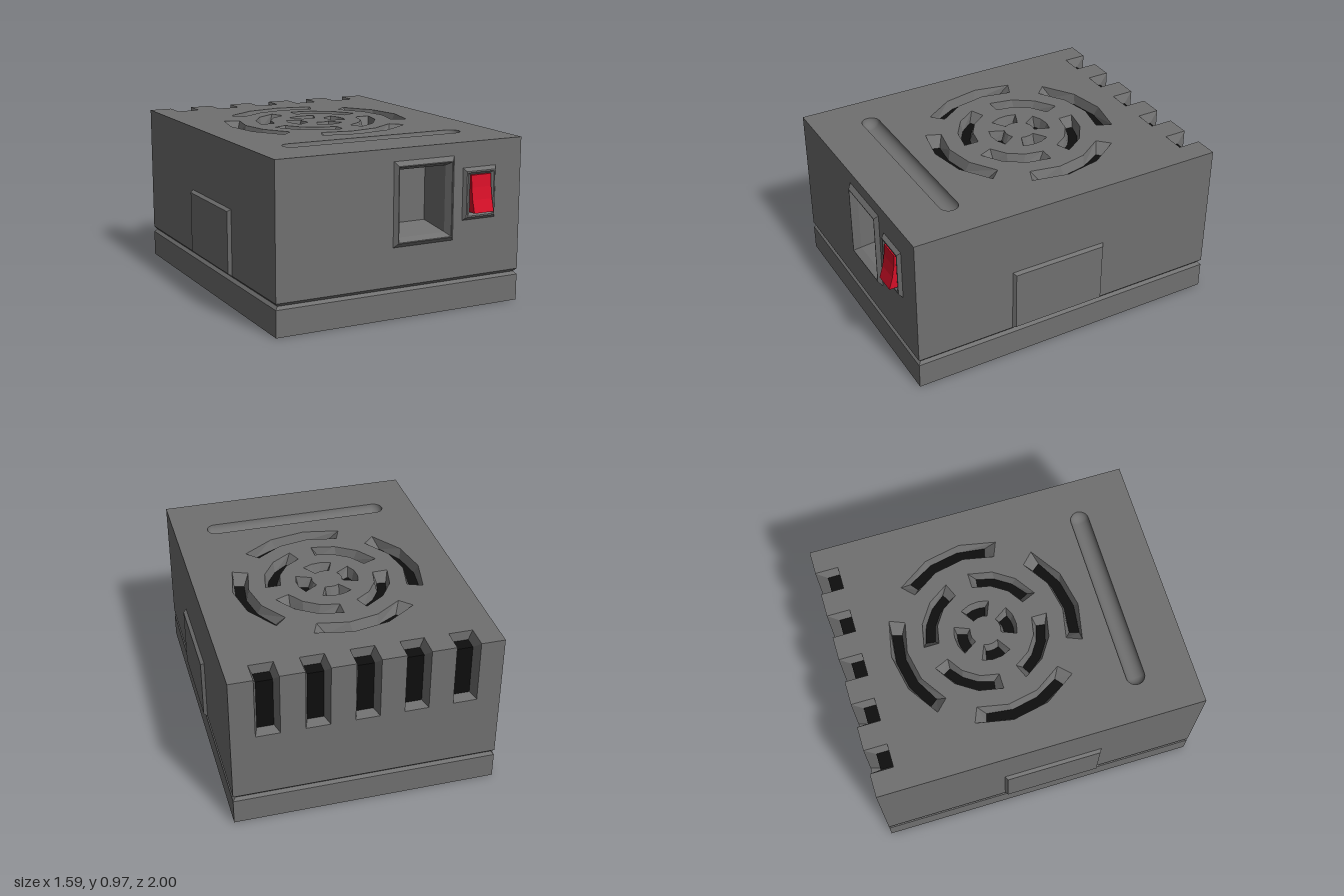
import * as THREE from 'three';
import { mergeVertices } from 'three/addons/utils/BufferGeometryUtils.js';

const W = 0.775, FRONT = 0.94, BACK = -1, TOP = 0.97, SEAM = 0.19;
const NOTCH = { half: 0.07, inner: 0.048, bottom: 0.59, end: -0.863, back: -0.937, floor: 0.91 };

const casing = new THREE.MeshStandardMaterial({ color: 0x707070, side: THREE.DoubleSide });
casing.name = 'casing grey';
const dark = new THREE.MeshStandardMaterial({ color: 0x0e0e0e, side: THREE.DoubleSide });
dark.name = 'interior black';
const red = new THREE.MeshStandardMaterial({ color: 0xd81028 });
red.name = 'switch red';

const v2 = (x, y) => new THREE.Vector2(x, y);

// Flat-shaded surface from a list of four-cornered faces
function quads(list, smooth = false) {
  const pos = [];
  for (const [a, b, c, d] of list) pos.push(...a, ...b, ...c, ...a, ...c, ...d);
  let g = new THREE.BufferGeometry();
  g.setAttribute('position', new THREE.Float32BufferAttribute(pos, 3));
  if (smooth) g = mergeVertices(g, 1e-5);
  g.computeVertexNormals();
  return g;
}

// Faces joining a chain of matching closed loops
function loft(loops) {
  const out = [];
  for (let k = 0; k + 1 < loops.length; k++) {
    const a = loops[k], b = loops[k + 1], n = a.length;
    for (let i = 0; i < n; i++) {
      const j = (i + 1) % n;
      out.push([a[i], a[j], b[j], b[i]]);
    }
  }
  return out;
}

const rectXY = (x0, x1, y0, y1, z) => [[x0, y0, z], [x1, y0, z], [x1, y1, z], [x0, y1, z]];
const rectXZ = (inset, y) => [
  [-W + inset, y, FRONT - inset], [W - inset, y, FRONT - inset],
  [W - inset, y, BACK + inset], [-W + inset, y, BACK + inset]];
const flat = (loop) => loop.map(([x, , z]) => v2(x, -z));

// Curved vent slot: outer arc followed by the reversed inner arc
function arcLoop(r0, r1, start, end, y, seg = 3) {
  const outer = [], inner = [];
  for (let i = 0; i <= seg; i++) {
    const t = start + (end - start) * i / seg;
    outer.push([r1 * Math.cos(t), y, -0.14 - r1 * Math.sin(t)]);
    inner.push([r0 * Math.cos(t), y, -0.14 - r0 * Math.sin(t)]);
  }
  return [...outer, ...inner.reverse()];
}

// Long outline with round ends
function stadium(r, y) {
  const pts = [];
  for (const s of [1, -1]) {
    for (let i = 0; i <= 12; i++) {
      const t = -Math.PI / 2 + Math.PI * i / 12;
      pts.push([s * (0.515 + r * Math.cos(t)), y, 0.602 - s * r * Math.sin(t)]);
    }
  }
  return pts;
}

export function createModel() {
  const model = new THREE.Group();
  model.name = 'ventilatedPowerBox';
  const add = (name, geometry, material = casing, parent = model) => {
    const m = new THREE.Mesh(geometry, material);
    m.name = name;
    parent.add(m);
    return m;
  };

  // Base tray and V-shaped seam
  const bottom = rectXZ(0, 0);
  add('baseTray', quads([
    ...loft([bottom, rectXZ(0, 0.155), rectXZ(0.016, 0.172), rectXZ(0, SEAM)]),
    [...bottom].reverse()]));

  // Side walls with raised chamfered panels
  for (const s of [1, -1]) {
    const side = new THREE.Group();
    side.name = s > 0 ? 'leftSide' : 'rightSide';
    side.scale.x = s;
    model.add(side);
    add('sideWall', quads([[[W, SEAM, FRONT], [W, SEAM, BACK], [W, TOP, BACK], [W, TOP, FRONT]]]), casing, side);
    const panel = (x, i) => [
      [x, SEAM + i, 0.342 - i], [x, SEAM + i, -0.256 + i],
      [x, 0.582 - i, -0.256 + i], [x, 0.582 - i, 0.342 - i]];
    const face = panel(W + 0.02, 0.013);
    add('sidePanel', quads([...loft([panel(W, 0), face]), face]), casing, side);
  }

  // Vent slots in three rings of four
  const holes = [], slotWalls = [], slotFloors = [];
  const step = Math.PI / 8;
  const rings = [
    { r0: 0.09, r1: 0.185, a: 3, span: 2.5, inset: 0.018 },
    { r0: 0.28, r1: 0.37, a: 1, span: 3, inset: 0.04 },
    { r0: 0.47, r1: 0.565, a: 3, span: 3, inset: 0.06 }];
  for (const { r0, r1, a, span, inset } of rings) {
    for (let k = 0; k < 4; k++) {
      const s = a * step + k * Math.PI / 2, e = s + span * step;
      const cut = inset * 2 / (r0 + r1);
      const rim = arcLoop(r0, r1, s, e, TOP);
      const low = arcLoop(r0 + 0.018, r1 - 0.018, s + cut, e - cut, TOP - 0.06);
      holes.push(flat(rim));
      slotWalls.push(...loft([rim, low]));
      for (let i = 0; i < 3; i++) slotFloors.push([low[i], low[i + 1], low[6 - i], low[7 - i]]);
    }
  }
  add('ventSlotWalls', quads(slotWalls));
  add('ventSlotFloors', quads(slotFloors), dark);

  // Rounded finger groove
  const R = 0.055, grooveLoops = [];
  for (let i = 0; i <= 8; i++) {
    const t = Math.PI / 2 * i / 8;
    grooveLoops.push(stadium(R * Math.cos(t), TOP - R * Math.sin(t)));
  }
  holes.push(flat(grooveLoops[0]));
  add('fingerGroove', quads(loft(grooveLoops), true));

  // Notches wrapping over the rear top edge
  const centres = [2, 1, 0, -1, -2].map((i) => i * 0.2825);
  const topEdge = [], backEdge = [], notchWalls = [], notchInside = [];
  for (const c of centres) {
    const { half, inner, bottom: yb, end, back, floor } = NOTCH;
    topEdge.push(v2(c + half, -BACK), v2(c + half, -end), v2(c - half, -end), v2(c - half, -BACK));
    backEdge.push(v2(c + half, TOP), v2(c + half, yb), v2(c - half, yb), v2(c - half, TOP));
    const outerPath = (s) => [[c + s * half, yb, BACK], [c + s * half, TOP, BACK], [c + s * half, TOP, end]];
    const innerPath = (s) => [[c + s * inner, yb + 0.012, back], [c + s * inner, floor, back], [c + s * inner, floor, end]];
    const [L, l, Rr, r] = [outerPath(1), innerPath(1), outerPath(-1), innerPath(-1)];
    for (let i = 0; i < 2; i++) {
      notchWalls.push([L[i], L[i + 1], l[i + 1], l[i]], [Rr[i + 1], Rr[i], r[i], r[i + 1]]);
      notchInside.push([l[i], r[i], r[i + 1], l[i + 1]]);
    }
    notchWalls.push([Rr[0], L[0], l[0], r[0]], [L[2], Rr[2], r[2], l[2]]);
  }
  add('rearNotchWalls', quads(notchWalls));
  add('rearNotchInteriors', quads(notchInside), dark);

  // Top cover
  const topShape = new THREE.Shape([v2(-W, -FRONT), v2(W, -FRONT), v2(W, -BACK), ...topEdge, v2(-W, -BACK)]);
  topShape.holes = holes.map((p) => new THREE.Path(p));
  add('topCover', new THREE.ShapeGeometry(topShape).rotateX(-Math.PI / 2).translate(0, TOP, 0));

  // Rear wall
  const backShape = new THREE.Shape([v2(-W, SEAM), v2(W, SEAM), v2(W, TOP), ...backEdge, v2(-W, TOP)]);
  add('rearWall', new THREE.ShapeGeometry(backShape).rotateY(Math.PI).translate(0, 0, BACK));

  // Power socket: raised bezel and deep tapered well
  const socket = [
    rectXY(-0.062, 0.325, 0.413, 0.897, FRONT),
    rectXY(-0.042, 0.305, 0.437, 0.872, 0.962),
    rectXY(-0.037, 0.3, 0.442, 0.867, 0.962),
    rectXY(-0.018, 0.28, 0.462, 0.845, 0.92),
    rectXY(0.006, 0.257, 0.498, 0.806, 0.74)];
  add('powerSocket', quads([...loft(socket), socket[4]]));

  // Switch bezel with a shallow seat
  const bezel = [
    rectXY(0.385, 0.603, 0.52, 0.822, FRONT),
    rectXY(0.4, 0.588, 0.538, 0.803, 0.96),
    rectXY(0.408, 0.58, 0.546, 0.795, 0.96),
    rectXY(0.428, 0.56, 0.562, 0.78, 0.945)];
  add('switchBezel', quads([...loft(bezel), bezel[3]]));

  // Front wall
  const frontShape = new THREE.Shape([v2(-W, SEAM), v2(W, SEAM), v2(W, TOP), v2(-W, TOP)]);
  frontShape.holes = [socket, bezel].map((l) => new THREE.Path(l[0].map(([x, y]) => v2(x, y))));
  add('frontWall', new THREE.ShapeGeometry(frontShape).translate(0, 0, FRONT));

  // Rocker switch: concave wedge profile (depth, height) swept across its width
  const profile = new THREE.Shape([
    v2(0.94, 0.567), v2(1, 0.567), v2(0.978, 0.64), v2(0.966, 0.71), v2(0.96, 0.78), v2(0.94, 0.78)]);
  add('rockerSwitch', new THREE.ExtrudeGeometry(profile, { depth: 0.13, bevelEnabled: false })
    .rotateY(-Math.PI / 2).translate(0.559, 0, 0), red);

  return model;
}
